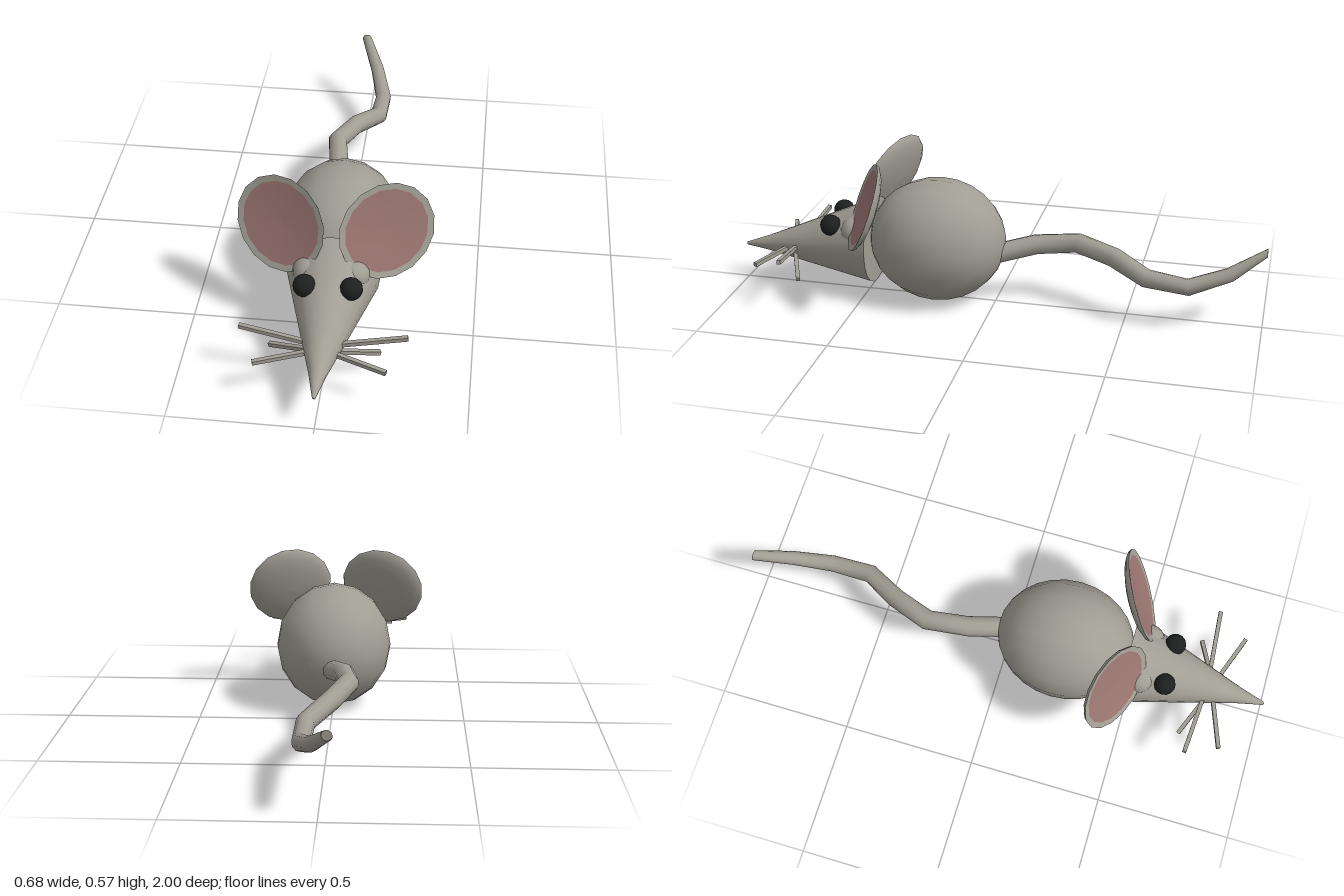
import * as THREE from 'three';

const material = (color) => new THREE.MeshStandardMaterial({ color, side: THREE.DoubleSide });
const fur = material(0xa19e94);
const pink = material(0x9a7571);
const black = material(0x1e2020);
const V = (x, y, z) => new THREE.Vector3(x, y, z);

function add(parent, name, geometry, mat, position) {
  const mesh = new THREE.Mesh(geometry, mat);
  mesh.name = name;
  if (position) mesh.position.copy(position);
  parent.add(mesh);
  return mesh;
}

function lathe(points, sides, start = 0) {
  return new THREE.LatheGeometry(points.map(([r, h]) => new THREE.Vector2(r, h)), sides, start);
}

// Shallow oval bowl with a flat rim and a dished pink lining, opening along its y axis
function createEar(side) {
  const ear = new THREE.Group();
  ear.name = side > 0 ? 'leftEar' : 'rightEar';
  const R = 0.17, depth = 0.045;
  const back = [];
  for (let i = 0; i <= 5; i++) {
    const a = (i / 5) * Math.PI / 2;
    back.push([R * Math.sin(a), -depth * Math.cos(a)]);
  }
  const oval = (points) => lathe(points, 16, Math.PI / 16).scale(0.965, 1, 1.04);
  add(ear, 'earBack', oval(back), fur);
  add(ear, 'earRim', oval([[R, 0], [R * 0.87, -0.003]]), fur);
  add(ear, 'earLining', oval([[R * 0.87, -0.003], [R * 0.5, -0.009], [0, -0.012]]), pink);
  const across = V(-side, 1, 0).normalize();
  const facing = V(side * 0.39, 0.39, 1).normalize();
  const along = across.clone().cross(facing);
  ear.quaternion.setFromRotationMatrix(new THREE.Matrix4().makeBasis(across, facing, along));
  ear.position.set(side * 0.184, 0.411, 0.455);
  return ear;
}

// Thin square rod between two points
function createWhisker(name, from, to) {
  const size = 0.015;
  const whisker = new THREE.Mesh(new THREE.BoxGeometry(size, size, from.distanceTo(to)), fur);
  whisker.name = name;
  whisker.position.copy(from).lerp(to, 0.5);
  whisker.lookAt(to);
  return whisker;
}

// Wavy tube whose rings shrink towards a tip cut square to z
function createTail() {
  const tail = new THREE.Group();
  tail.name = 'tail';
  const curve = new THREE.CatmullRomCurve3([
    V(0.0, 0.195, 0.0), V(-0.05, 0.225, -0.14), V(-0.077, 0.237, -0.28), V(-0.025, 0.22, -0.43),
    V(0.06, 0.182, -0.57), V(0.068, 0.163, -0.72), V(0.033, 0.205, -0.86), V(-0.03, 0.285, -1),
  ]);
  const segments = 7, sides = 10, base = 0.038, tip = 0.02;
  const geometry = new THREE.TubeGeometry(curve, segments, base, sides);
  const pos = geometry.attributes.position;
  for (let i = 0; i < pos.count; i++) {
    const t = Math.floor(i / (sides + 1)) / segments;
    const radius = base + (tip - base) * t ** 3;
    const centre = curve.getPointAt(t);
    const p = V().fromBufferAttribute(pos, i).sub(centre).multiplyScalar(radius / base).add(centre);
    pos.setXYZ(i, p.x, p.y, t === 1 ? -1 : p.z);
  }
  add(tail, 'tailTube', geometry, fur);
  add(tail, 'tailTip', new THREE.CircleGeometry(tip * 0.9, sides).rotateY(Math.PI), fur, curve.getPoint(1));
  return tail;
}

// Cone along z with a slightly blunt nose, sheared so that the nose sits low
function createHead() {
  const head = new THREE.Group();
  head.name = 'head';
  const shear = new THREE.Matrix4().set(
    1, 0, 0, 0,
    0, 1, -0.07 / 0.535, 0,
    0, 0, 1, 0,
    0, 0, 0, 1);
  const cone = lathe([[0.165, 0], [0.075, 0.292], [0.03, 0.438], [0.006, 0.532], [0, 0.535]], 20)
    .rotateX(Math.PI / 2)
    .applyMatrix4(shear);
  add(head, 'headCone', cone, fur);
  add(head, 'headBack', new THREE.CircleGeometry(0.165, 20).rotateZ(Math.PI / 2).rotateY(Math.PI), fur);
  head.position.set(0, 0.21, 0.465);
  return head;
}

export function createModel() {
  const mouse = new THREE.Group();
  mouse.name = 'mouse';

  // Round body with its poles along z
  const body = new THREE.SphereGeometry(1, 16, 14).rotateX(Math.PI / 2).scale(0.22, 0.235, 0.258);
  add(mouse, 'body', body, fur, V(0, 0.235, 0.223));
  mouse.add(createHead());

  // Each whisker: root, then end
  const whiskers = [
    [[0.04, 0.168, 0.775], [0.285, 0.205, 0.755]],
    [[0.03, 0.161, 0.805], [0.222, 0.156, 0.875]],
    [[0.04, 0.148, 0.785], [0.19, 0.097, 0.72]],
  ];

  for (const side of [1, -1]) {
    const label = side > 0 ? 'left' : 'right';
    mouse.add(createEar(side));
    add(mouse, label + 'EarBase', new THREE.SphereGeometry(0.058, 16, 12), fur, V(side * 0.077, 0.266, 0.522));
    add(mouse, label + 'Eye', new THREE.SphereGeometry(0.04, 14, 10), black, V(side * 0.08, 0.284, 0.62));
    whiskers.forEach(([a, b], i) => {
      mouse.add(createWhisker(label + 'Whisker' + (i + 1),
        V(side * a[0], a[1], a[2]), V(side * b[0], b[1], b[2])));
    });
  }

  mouse.add(createTail());
  return mouse;
}
